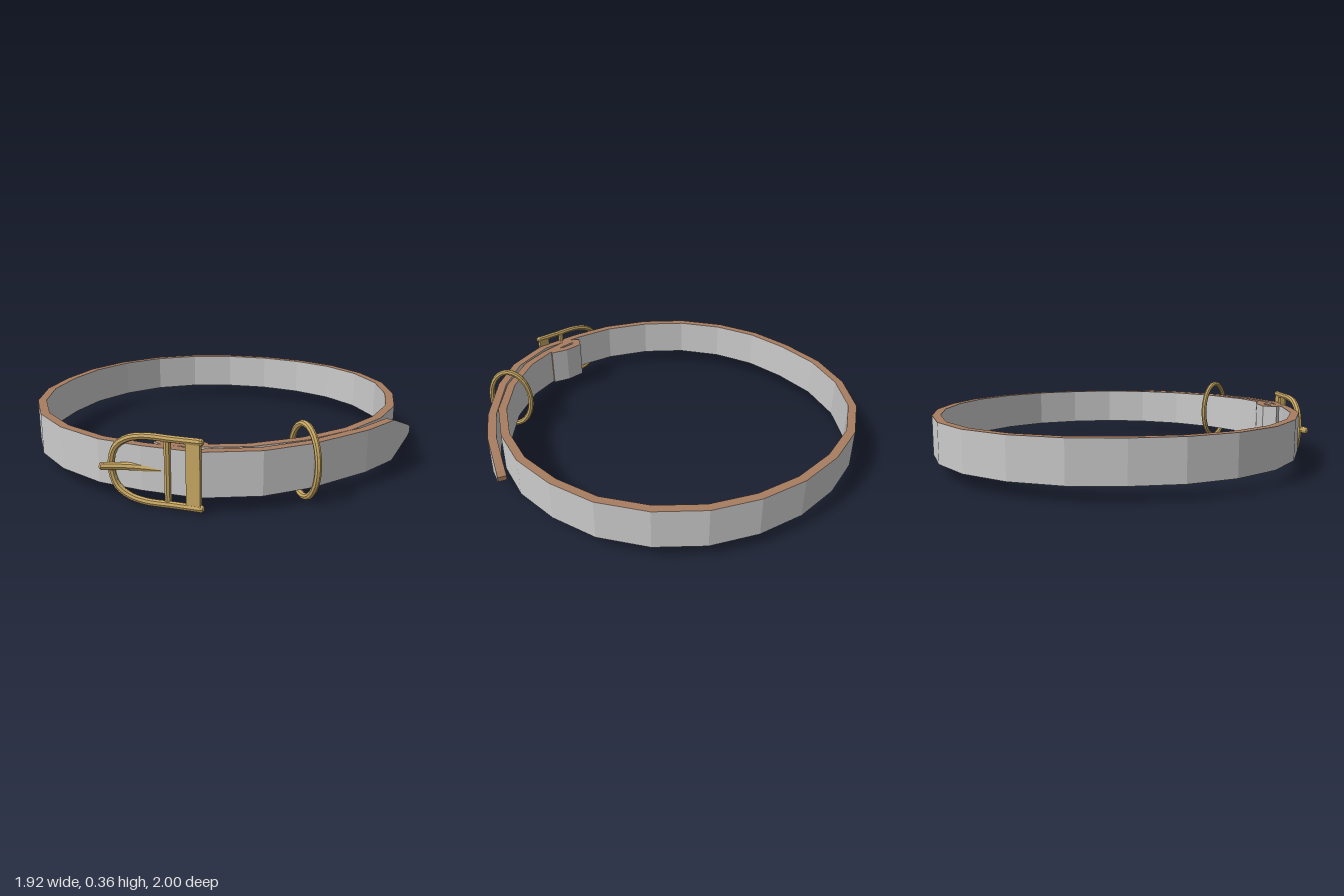
import * as THREE from 'three';

const MID = 0.173; // height of the strap's centre line
const grey = new THREE.MeshStandardMaterial({ color: 0xcccccc, flatShading: true });
const leather = new THREE.MeshStandardMaterial({ color: 0xa87d60, flatShading: true });
const brass = new THREE.MeshStandardMaterial({ color: 0xc8a864, flatShading: true });

// Strap centre line [x, z]: pointed tip, once around, then the folded loop at the buckle
const strapPath = [
  [0.695, 0.688], [0.675, 0.7], [0.51, 0.79], [0.31, 0.86], [0, 0.91], [-0.23, 0.9], [-0.47, 0.81],
  [-0.655, 0.635], [-0.79, 0.475], [-0.895, 0.25], [-0.937, 0.01], [-0.905, -0.235], [-0.81, -0.46],
  [-0.66, -0.65], [-0.475, -0.82], [-0.245, -0.935], [0, -0.98], [0.245, -0.945], [0.465, -0.84],
  [0.655, -0.69], [0.8, -0.505], [0.9, -0.29], [0.937, -0.05], [0.905, 0.195], [0.805, 0.41],
  [0.66, 0.6], [0.475, 0.735], [0.25, 0.825], [0, 0.86], [-0.25, 0.835], [-0.4, 0.775],
  [-0.5, 0.715], [-0.565, 0.67], [-0.575, 0.635], [-0.535, 0.62], [-0.465, 0.675], [-0.415, 0.75],
];
const tipHalfHeights = [0.012, 0.028];

// Four corners of the strap's cross-section at every path point, with mitred joints
function strapSections(half) {
  const pts = strapPath.map(([x, z]) => new THREE.Vector2(x, z));
  const normal = (i) => {
    const d = pts[i + 1].clone().sub(pts[i]).normalize();
    return new THREE.Vector2(d.y, -d.x);
  };
  return pts.map((p, i) => {
    const a = normal(Math.max(i - 1, 0));
    const b = normal(Math.min(i, pts.length - 2));
    const n = a.clone().add(b).normalize();
    n.multiplyScalar(half / Math.max(n.dot(a), 0.6));
    const h = tipHalfHeights[i] ?? 0.1;
    const corner = (s, t) => [p.x + n.x * s, MID + h * t, p.y + n.y * s];
    return { ot: corner(1, 1), ob: corner(1, -1), it: corner(-1, 1), ib: corner(-1, -1) };
  });
}

function quadMesh(name, quads, material) {
  const pos = quads.flatMap(([a, b, c, d]) => [...a, ...b, ...c, ...a, ...c, ...d]);
  const geo = new THREE.BufferGeometry();
  geo.setAttribute('position', new THREE.Float32BufferAttribute(pos, 3));
  geo.computeVertexNormals();
  const mesh = new THREE.Mesh(geo, material);
  mesh.name = name;
  return mesh;
}

function createStrap() {
  const group = new THREE.Group();
  group.name = 'strap';
  const s = strapSections(0.021);
  const faces = [];
  const edges = [];
  for (let i = 0; i < s.length - 1; i++) {
    const a = s[i], b = s[i + 1];
    faces.push([a.ob, a.ot, b.ot, b.ob], [a.ib, b.ib, b.it, a.it]);
    edges.push([a.ot, a.it, b.it, b.ot], [a.ob, b.ob, b.ib, a.ib]);
  }
  const first = s[0], last = s[s.length - 1];
  edges.push([first.ot, first.ob, first.ib, first.it], [last.ot, last.it, last.ib, last.ob]);
  group.add(quadMesh('strapFaces', faces, grey), quadMesh('strapEdges', edges, leather));
  return group;
}

function add(group, name, geo, position = [0, 0, 0]) {
  const mesh = new THREE.Mesh(geo, brass);
  mesh.name = name;
  mesh.position.set(...position);
  group.add(mesh);
  return mesh;
}

// Tube through points, with rounded ends
function addRod(group, name, points, radius, steps) {
  const curve = new THREE.CatmullRomCurve3(points);
  add(group, name, new THREE.TubeGeometry(curve, steps, radius, 8));
  for (const p of [points[0], points[points.length - 1]]) {
    add(group, name + 'End', new THREE.SphereGeometry(radius, 8, 6), p.toArray());
  }
}

function createBuckle() {
  const group = new THREE.Group();
  group.name = 'buckle';
  // The frame lies in a slanted upright plane
  const onPlane = (x, y) => new THREE.Vector3(x, y, 0.835 + (x + 0.48) * 0.95);
  const upper = [[-0.478, 0.145], [-0.56, 0.145], [-0.66, 0.145], [-0.715, 0.127], [-0.755, 0.085]];
  const outline = [
    ...upper.map(([x, y]) => onPlane(x, MID + y)),
    onPlane(-0.771, MID),
    ...upper.map(([x, y]) => onPlane(x, MID - y)).reverse(),
  ];
  addRod(group, 'buckleFrame', outline, 0.016, 40);

  // Flat bar closing the frame
  const bar = onPlane(-0.5, MID);
  const flat = add(group, 'buckleBar', new THREE.BoxGeometry(0.062, 0.29, 0.022), bar.toArray());
  flat.rotation.y = -Math.atan(0.95);

  // Pivot bar passing through the strap
  add(group, 'pivotBar', new THREE.CylinderGeometry(0.016, 0.016, 0.29, 8), [-0.58, MID, 0.73]);

  // Prong coming out of the strap and resting on the frame
  addRod(group, 'prong', [
    new THREE.Vector3(-0.58, MID, 0.71),
    new THREE.Vector3(-0.69, MID, 0.62),
    new THREE.Vector3(-0.76, MID, 0.578),
    new THREE.Vector3(-0.808, MID, 0.557),
  ], 0.018, 12);
  return group;
}

// Oval ring hanging around both strap layers
class OvalCurve extends THREE.Curve {
  getPoint(t, target = new THREE.Vector3()) {
    const a = t * Math.PI * 2;
    return target.set(-0.01, 0.18 + 0.164 * Math.sin(a), 0.873 + 0.111 * Math.cos(a));
  }
}

export function createModel() {
  const model = new THREE.Group();
  model.name = 'collar';
  model.add(createStrap(), createBuckle());
  add(model, 'ring', new THREE.TubeGeometry(new OvalCurve(), 32, 0.015, 8, true));
  return model;
}
